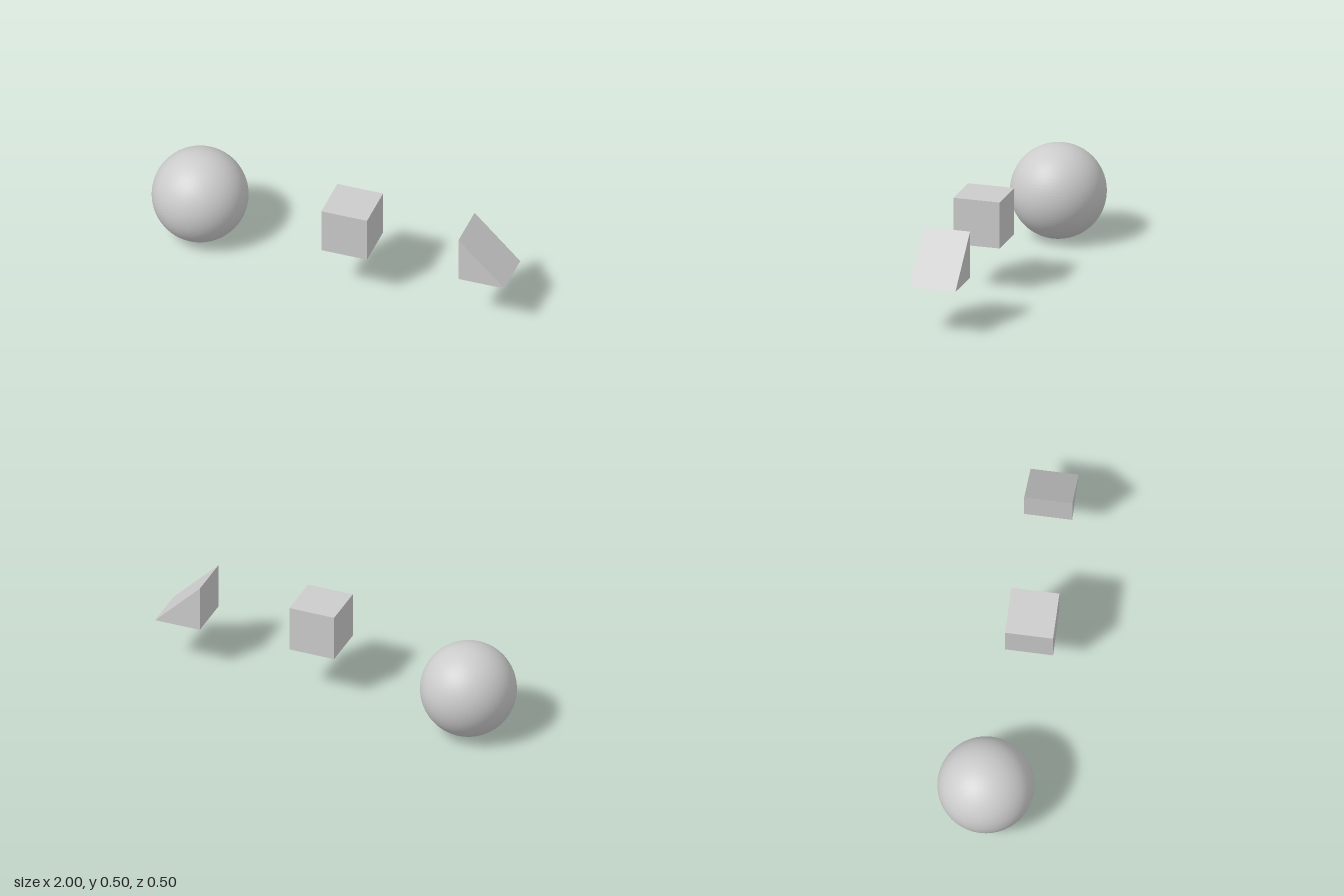
import * as THREE from 'three';

const SIZE = 0.25; // cube edge, wedge legs and sphere radius

export function createModel() {
  const model = new THREE.Group();
  const material = new THREE.MeshStandardMaterial({ color: 0xcccccc, flatShading: true });

  const add = (name, geometry, x, y, z) => {
    const mesh = new THREE.Mesh(geometry, material);
    mesh.name = name;
    mesh.position.set(x, y, z);
    model.add(mesh);
  };

  // Finely faceted ball resting on the ground
  add('sphere', new THREE.IcosahedronGeometry(SIZE, 15), -0.75, SIZE, 0);

  // Floating cube, its back lower corner on the sphere's mid planes
  add('cube', new THREE.BoxGeometry(SIZE, SIZE, SIZE), SIZE / 2, SIZE * 1.5, SIZE / 2);

  // Right-angled wedge sloping down towards +x
  const triangle = new THREE.Shape([
    new THREE.Vector2(0, 0),
    new THREE.Vector2(SIZE, 0),
    new THREE.Vector2(0, SIZE),
  ]);
  const wedge = new THREE.ExtrudeGeometry(triangle, { depth: SIZE, bevelEnabled: false });
  add('wedge', wedge, 0.75, SIZE, 0);

  return model;
}
